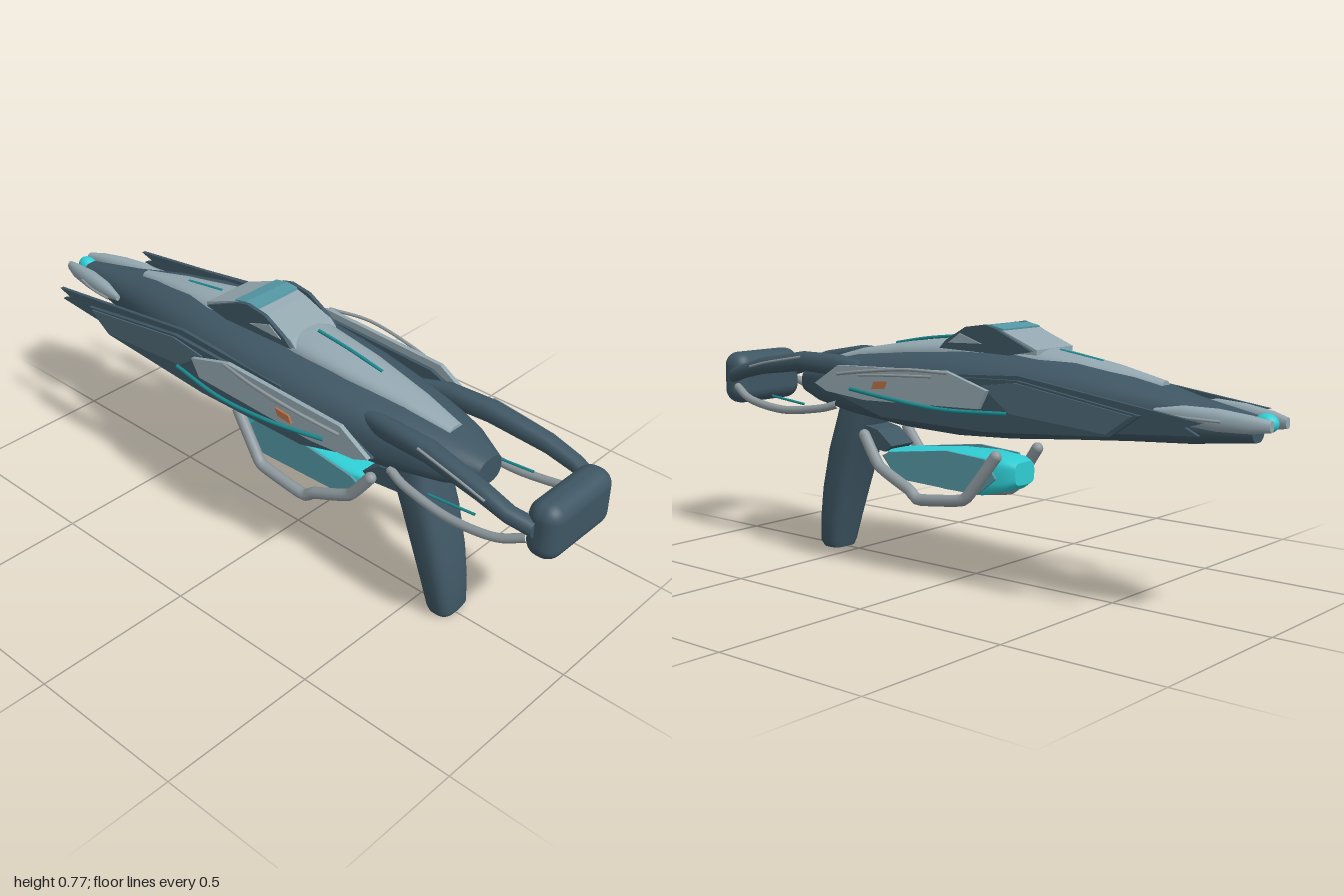
import * as THREE from 'three';
import { RoundedBoxGeometry } from 'three/addons/geometries/RoundedBoxGeometry.js';

const mat = (name, color) => Object.assign(new THREE.MeshStandardMaterial({ color }), { name });

// Closed body from superellipse rings [z, centreX, centreY, halfWidth, halfHeight], z increasing
function loft(rings, power = 2.5, sides = 32) {
  const pos = [], idx = [];
  const ring = ([z, cx, cy, w, h]) => {
    for (let j = 0; j < sides; j++) {
      const a = (j / sides) * Math.PI * 2, c = Math.cos(a), s = Math.sin(a);
      pos.push(cx + w * Math.sign(c) * Math.abs(c) ** (2 / power),
        cy + h * Math.sign(s) * Math.abs(s) ** (2 / power), z);
    }
  };
  rings.forEach(ring);
  for (let i = 0; i < rings.length - 1; i++) {
    for (let j = 0; j < sides; j++) {
      const k = (j + 1) % sides, a = i * sides + j, b = i * sides + k;
      idx.push(a, b, b + sides, a, b + sides, a + sides);
    }
  }
  // End caps with their own vertices keep a sharp rim
  for (const [r, front] of [[rings[0], false], [rings[rings.length - 1], true]]) {
    const start = pos.length / 3;
    ring(r);
    pos.push(r[1], r[2], r[0]);
    for (let j = 0; j < sides; j++) {
      const a = start + j, b = start + (j + 1) % sides, c = start + sides;
      front ? idx.push(c, a, b) : idx.push(c, b, a);
    }
  }
  const g = new THREE.BufferGeometry();
  g.setAttribute('position', new THREE.Float32BufferAttribute(pos, 3));
  g.setIndex(idx);
  g.computeVertexNormals();
  return g;
}

// Upright plate with outline [z, y], centred on x
function plate(points, x, thick) {
  const shape = new THREE.Shape(points.map(([z, y]) => new THREE.Vector2(z, y)));
  const g = new THREE.ExtrudeGeometry(shape, { depth: thick, bevelEnabled: false });
  return g.rotateY(-Math.PI / 2).translate(x + thick / 2, 0, 0);
}

// Round bar through [x, y, z] points; s mirrors it
function tube(points, radius, s = 1, tension = 0.5) {
  const pts = points.map(([x, y, z]) => new THREE.Vector3(x * s, y, z));
  const curve = new THREE.CatmullRomCurve3(pts, false, 'catmullrom', tension);
  return new THREE.TubeGeometry(curve, 40, radius, 10);
}

export function createModel() {
  const group = new THREE.Group();
  const dark = mat('dark slate', 0x3e5663);
  const light = mat('pale blue grey', 0x93a7b0);
  const grey = mat('warm grey', 0x8d989d);
  const slate = mat('mid slate', 0x4d6775);
  const teal = mat('glass teal', 0x5496a4);
  const cyan = mat('bright cyan', 0x2fcdd4);
  const line = mat('deep teal', 0x1b8a90);
  const orange = mat('copper', 0xb87246);
  const add = (name, geometry, material) => {
    const m = new THREE.Mesh(geometry, material);
    m.name = name;
    group.add(m);
    return m;
  };

  // Main hull, slim at the muzzle
  add('hull', loft([
    [-0.94, 0, 0.538, 0.032, 0.035], [-0.75, 0, 0.545, 0.073, 0.063],
    [-0.58, 0, 0.56, 0.115, 0.088], [-0.4, 0, 0.568, 0.153, 0.11],
    [-0.2, 0, 0.566, 0.182, 0.126], [0, 0, 0.56, 0.19, 0.13],
    [0.2, 0, 0.554, 0.178, 0.12], [0.44, 0, 0.549, 0.145, 0.096],
    [0.6, 0, 0.543, 0.1, 0.069], [0.7, 0, 0.538, 0.05, 0.041],
  ], 2.5, 40), dark);

  // Pale spine along the top
  add('spine', loft([
    [-0.66, 0, 0.615, 0.02, 0.026], [-0.5, 0, 0.63, 0.05, 0.044],
    [-0.29, 0, 0.656, 0.083, 0.048], [0.07, 0, 0.664, 0.087, 0.051],
    [0.25, 0, 0.65, 0.075, 0.043], [0.45, 0, 0.622, 0.05, 0.038],
    [0.58, 0, 0.6, 0.03, 0.026],
  ], 2.6), light);
  add('spineLightFront', tube([[0, 0.718, 0.08], [0, 0.704, 0.2], [0, 0.683, 0.32]], 0.005), line);
  add('spineLightRear', tube([[0, 0.7, -0.31], [0, 0.69, -0.38], [0, 0.678, -0.46]], 0.005), line);

  // Raised canopy with a glass band between dark cheeks
  add('canopy', plate([[0.07, 0.69], [0.05, 0.71], [-0.05, 0.748], [-0.08, 0.756],
    [-0.17, 0.752], [-0.29, 0.705], [-0.29, 0.69]], 0, 0.17), light);
  add('canopyGlass', plate([[-0.08, 0.75], [-0.085, 0.763], [-0.125, 0.766],
    [-0.17, 0.757], [-0.17, 0.745]], 0, 0.168), teal);

  for (const s of [1, -1]) {
    const side = s > 0 ? 'left' : 'right';
    const put = (name, geometry, material) => add(side + name, geometry, material);

    put('CanopyCheek', plate([[0.06, 0.69], [0.035, 0.715], [-0.04, 0.757], [-0.11, 0.767],
      [-0.15, 0.757], [-0.28, 0.7], [-0.2, 0.685]], s * 0.09, 0.012), dark);
    put('CanopyCheekPanel', plate([[0.025, 0.708], [-0.02, 0.738], [-0.1, 0.712]], s * 0.097, 0.004), light);

    // Layered side armour
    put('Wing', plate([[0.1, 0.62], [-0.3, 0.642], [-0.88, 0.568], [-0.83, 0.553],
      [-0.87, 0.535], [-0.3, 0.49], [0.1, 0.49]], s * 0.173, 0.012), dark);
    put('ArmourBase', plate([[0.46, 0.56], [0.34, 0.61], [-0.07, 0.625], [-0.31, 0.632],
      [-0.71, 0.573], [-0.62, 0.51], [-0.2, 0.48], [0.2, 0.485]], s * 0.196, 0.012), dark);
    put('ArmourInset', plate([[-0.19, 0.61], [-0.31, 0.626], [-0.69, 0.571],
      [-0.61, 0.516], [-0.29, 0.54]], s * 0.204, 0.006), slate);
    put('ArmourPlate', plate([[0.46, 0.567], [0.36, 0.628], [-0.07, 0.642], [-0.22, 0.598],
      [-0.19, 0.545], [0.25, 0.532], [0.41, 0.546]], s * 0.213, 0.014), light);
    put('UpperRail', tube([[0.222, 0.602, 0.36], [0.242, 0.622, 0.22], [0.247, 0.639, 0.06],
      [0.222, 0.637, -0.08]], 0.005, s), grey);
    put('LowerRail', tube([[0.222, 0.605, 0.27], [0.236, 0.616, 0.13], [0.222, 0.622, -0.02]], 0.004, s), grey);
    put('GlowRail', tube([[0.222, 0.561, 0.305], [0.248, 0.55, 0.12], [0.243, 0.536, -0.08],
      [0.215, 0.54, -0.29]], 0.006, s), line);
    put('Marker', plate([[0.2, 0.572], [0.19, 0.594], [0.14, 0.598], [0.15, 0.576]], s * 0.238, 0.006), orange);

    // Stock arms
    put('StockArm', loft([
      [0.34, s * 0.105, 0.6, 0.02, 0.025], [0.45, s * 0.125, 0.614, 0.028, 0.033],
      [0.6, s * 0.133, 0.617, 0.031, 0.031], [0.78, s * 0.147, 0.59, 0.027, 0.027],
      [0.87, s * 0.149, 0.565, 0.025, 0.023], [0.94, s * 0.13, 0.545, 0.024, 0.024],
    ], 2.3, 20), dark);
    put('ArmTrim', tube([[0.163, 0.634, 0.58], [0.172, 0.607, 0.73], [0.174, 0.588, 0.81]], 0.004, s), grey);
    put('StockBar', tube([[0.135, 0.51, 0.92], [0.153, 0.475, 0.83], [0.15, 0.456, 0.68],
      [0.14, 0.472, 0.53], [0.125, 0.49, 0.46]], 0.013, s), grey);
    put('StockGlow', tube([[0.13, 0.492, 0.75], [0.13, 0.478, 0.6]], 0.004, s), line);

    // Muzzle prongs
    put('Prong', loft([
      [-1, s * 0.042, 0.555, 0.011, 0.015], [-0.95, s * 0.054, 0.557, 0.019, 0.024],
      [-0.86, s * 0.068, 0.562, 0.025, 0.03], [-0.77, s * 0.085, 0.568, 0.021, 0.026],
      [-0.69, s * 0.1, 0.572, 0.008, 0.01],
    ], 2.2, 20), light);
    put('ProngTrim', tube([[0.122, 0.57, -0.71], [0.112, 0.566, -0.8], [0.09, 0.562, -0.88]], 0.004, s), grey);

    // Energy cell side panel and cradle
    put('CellPanel', plate([[0.31, 0.34], [0.28, 0.354], [0.05, 0.383], [-0.1, 0.374],
      [-0.14, 0.32], [-0.07, 0.265], [0.25, 0.275]], s * 0.078, 0.008), teal);
    put('CradleBar', tube([[0.098, 0.4, 0.37], [0.105, 0.31, 0.3], [0.113, 0.255, 0.17],
      [0.115, 0.23, 0.13], [0.113, 0.25, -0.04], [0.108, 0.29, -0.08], [0.098, 0.39, -0.155]],
      0.018, s, 0.25), grey);
    for (const [y, z] of [[0.4, 0.37], [0.39, -0.155]]) {
      put('CradleTip', new THREE.SphereGeometry(0.018, 12, 8).translate(s * 0.098, y, z), grey);
    }
  }

  // Shoulder pad
  add('shoulderPad', new RoundedBoxGeometry(0.28, 0.17, 0.1, 5, 0.045).translate(0, 0.535, 0.95), dark);

  // Muzzle light
  add('muzzleLight', new THREE.SphereGeometry(0.026, 20, 14).scale(1, 1, 1.3).translate(0, 0.556, -0.962), cyan);

  // Grip, lofted upward, and the bracket ahead of it
  add('grip', loft([
    [0, 0, -0.588, 0.048, 0.038], [0.02, 0, -0.59, 0.058, 0.046],
    [0.1, 0, -0.575, 0.067, 0.053], [0.2, 0, -0.55, 0.075, 0.06],
    [0.33, 0, -0.51, 0.08, 0.066], [0.42, 0, -0.475, 0.079, 0.07],
    [0.5, 0, -0.45, 0.07, 0.075],
  ], 3).rotateX(-Math.PI / 2), dark);
  add('gripBracket', plate([[0.46, 0.43], [0.36, 0.41], [0.3, 0.365], [0.33, 0.345], [0.46, 0.36]], 0, 0.1), dark);

  // Glowing energy cell under the hull
  add('energyCell', loft([
    [-0.185, 0, 0.332, 0.045, 0.034], [-0.15, 0, 0.327, 0.066, 0.05],
    [-0.06, 0, 0.32, 0.076, 0.065], [0.08, 0, 0.318, 0.077, 0.062],
    [0.24, 0, 0.318, 0.074, 0.045], [0.31, 0, 0.34, 0.06, 0.015],
  ], 4), cyan);

  return group;
}
